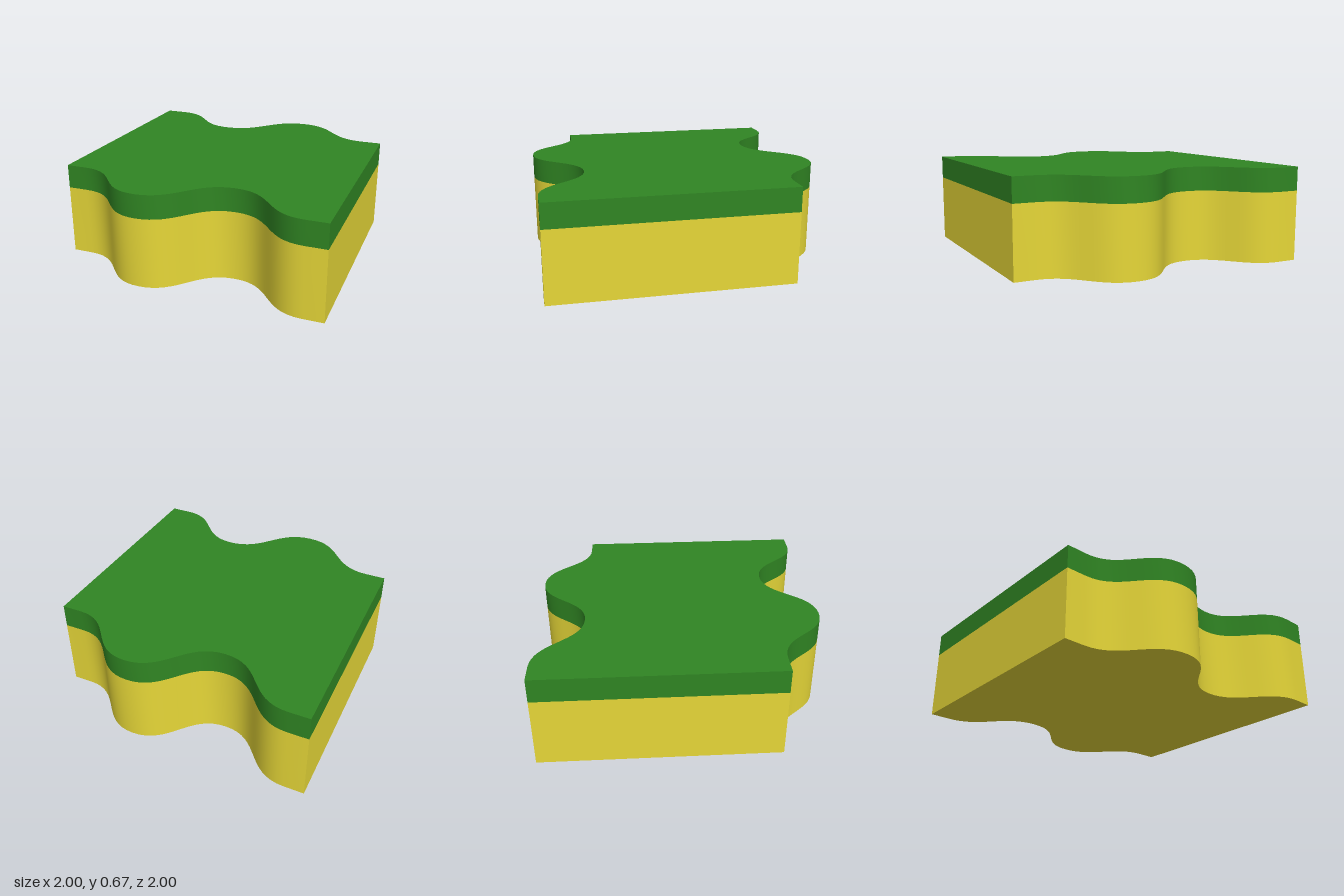
import * as THREE from 'three';
import { toCreasedNormals } from 'three/addons/utils/BufferGeometryUtils.js';

const HALF_WAVE = 4 / 7; // distance from crest to trough
const DEPTH = 1 / 3; // crest to trough height
const HANDLE = 0.29; // roundness of crests and troughs

// Wavy edge from left to right, as shape points (shape y is -z)
function wavyEdge(crestY) {
  const points = [new THREE.Vector2(-1, crestY)];
  for (let i = 0; i < 3; i++) {
    const x0 = -1.5 * HALF_WAVE + i * HALF_WAVE;
    const x1 = x0 + HALF_WAVE;
    const y0 = crestY - (i % 2 ? DEPTH : 0);
    const y1 = crestY - (i % 2 ? 0 : DEPTH);
    const wave = new THREE.CubicBezierCurve(
      new THREE.Vector2(x0, y0), new THREE.Vector2(x0 + HANDLE, y0),
      new THREE.Vector2(x1 - HANDLE, y1), new THREE.Vector2(x1, y1));
    points.push(...wave.getPoints(16).slice(i ? 1 : 0));
  }
  points.push(new THREE.Vector2(1, crestY - DEPTH));
  return points;
}

export function createModel() {
  const group = new THREE.Group();
  group.name = 'wavyTerrainTile';

  // Back edge, and the parallel front edge run backwards
  const outline = new THREE.Shape([...wavyEdge(1), ...wavyEdge(DEPTH - 1).reverse()]);

  function addLayer(name, bottom, top, color) {
    let geometry = new THREE.ExtrudeGeometry(outline, { depth: top - bottom, bevelEnabled: false });
    geometry.rotateX(-Math.PI / 2);
    geometry.translate(0, bottom, 0);
    geometry = toCreasedNormals(geometry, 0.6);
    const mesh = new THREE.Mesh(geometry, new THREE.MeshStandardMaterial({ color }));
    mesh.name = name;
    group.add(mesh);
  }

  addLayer('earthBase', 0, 0.5, 0xe6d738);
  addLayer('grassTop', 0.5, 0.67, 0x308523);
  return group;
}
